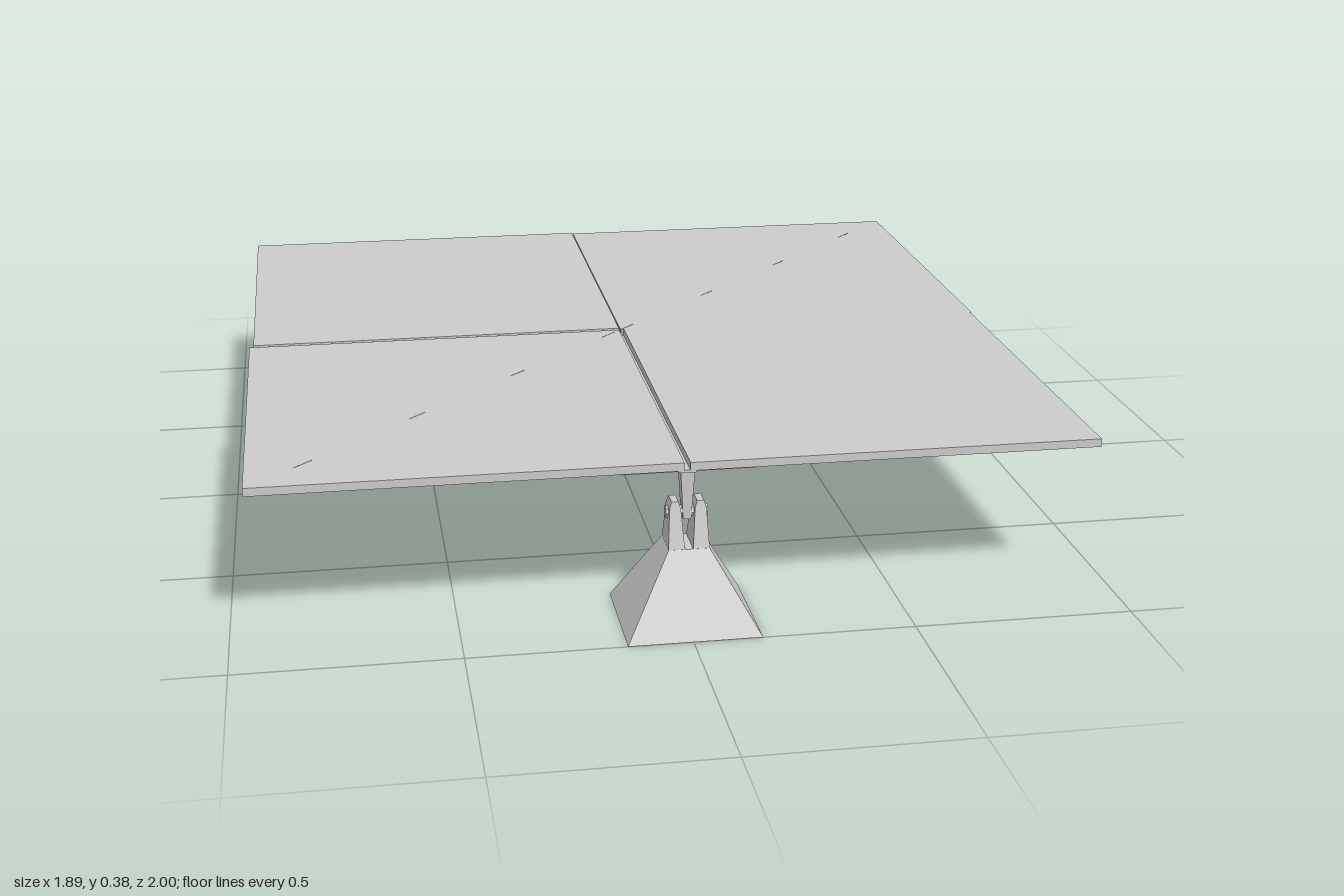
import * as THREE from 'three';

const material = new THREE.MeshStandardMaterial({ color: 0xcccccc, flatShading: true, side: THREE.DoubleSide });

function add(parent, name, geometry) {
  const mesh = new THREE.Mesh(geometry, material);
  mesh.name = name;
  parent.add(mesh);
  return mesh;
}

// Box given by its limits on each axis
function box(parent, name, [x0, x1], [y0, y1], [z0, z1]) {
  const mesh = add(parent, name, new THREE.BoxGeometry(x1 - x0, y1 - y0, z1 - z0));
  mesh.position.set((x0 + x1) / 2, (y0 + y1) / 2, (z0 + z1) / 2);
  return mesh;
}

// Four-sided tapered block; each end is [x0, x1, z0, z1]
function taper(parent, name, y0, bottom, y1, top, open = false) {
  const ring = ([x0, x1, z0, z1], y) => [x0, y, z1, x1, y, z1, x1, y, z0, x0, y, z0];
  const index = [];
  for (let i = 0; i < 4; i++) {
    const j = (i + 1) % 4;
    index.push(i, j, j + 4, i, j + 4, i + 4);
  }
  index.push(4, 5, 6, 4, 6, 7);
  if (!open) index.push(0, 2, 1, 0, 3, 2);
  const g = new THREE.BufferGeometry();
  g.setAttribute('position', new THREE.Float32BufferAttribute([...ring(bottom, y0), ...ring(top, y1)], 3));
  g.setIndex(index);
  const flat = g.toNonIndexed();
  flat.computeVertexNormals();
  return add(parent, name, flat);
}

export function createModel() {
  const model = new THREE.Group();
  model.name = 'pivotingPanelArray';

  // Four thin panels, very slightly skewed against each other
  const py = [0.361, 0.38];
  const panels = new THREE.Group();
  panels.name = 'panels';
  model.add(panels);
  box(panels, 'panelBackRight', [-0.938, -0.003], py, [-0.997, -0.055]);
  box(panels, 'panelBackLeft', [-0.001, 0.944], py, [-0.988, -0.05]);
  box(panels, 'panelFrontRight', [-0.948, -0.005], py, [-0.041, 0.897]);
  box(panels, 'panelFrontLeft', [0.008, 0.94], py, [-0.051, 0.897]);

  // Flat hinge strips under the seams
  box(model, 'crossStrip', [-0.737, 0.737], [0.356, 0.362], [-0.07, -0.03]);
  box(model, 'seamStrip', [-0.018, 0.022], [0.356, 0.362], [-0.605, 0.895]);
  box(model, 'mountPlate', [-0.145, 0.155], [0.355, 0.362], [0.845, 0.885]);

  // Slim pins along one diagonal
  for (const x of [-0.82, -0.56, -0.3, -0.04, 0.02, 0.28, 0.54, 0.8]) {
    const pin = add(model, 'diagonalPin', new THREE.BoxGeometry(0.056, 0.0204, 0.002));
    pin.position.set(x, 0.3705, -x - 0.045);
    pin.rotation.y = Math.PI / 4;
  }

  // Hollow pyramid foot carrying a fork
  const foot = new THREE.Group();
  foot.name = 'foot';
  foot.position.set(0.005, 0, 0.865);
  model.add(foot);
  taper(foot, 'footBase', 0, [-0.15, 0.15, -0.135, 0.135], 0.18, [-0.046, 0.046, -0.043, 0.043], true);
  for (const s of [-1, 1]) {
    const span = (a, b) => (s > 0 ? [a, b] : [-b, -a]);
    taper(foot, 'forkProng', 0.178, [...span(0.009, 0.046), -0.043, 0.043],
      0.27, [...span(0.016, 0.041), -0.023, 0.023]);
    taper(foot, 'forkProngTip', 0.27, [...span(0.016, 0.041), -0.023, 0.023],
      0.285, [...span(0.021, 0.036), -0.02, 0.02]);
  }

  // Pivot bolt and the tongue hanging from the panels
  const bolt = add(foot, 'pivotBolt', new THREE.CylinderGeometry(0.014, 0.014, 0.094, 8));
  bolt.rotation.z = Math.PI / 2;
  bolt.position.y = 0.255;
  taper(foot, 'tongue', 0.24, [-0.009, 0.009, -0.014, 0.014], 0.357, [-0.016, 0.016, -0.018, 0.018]);

  return model;
}
